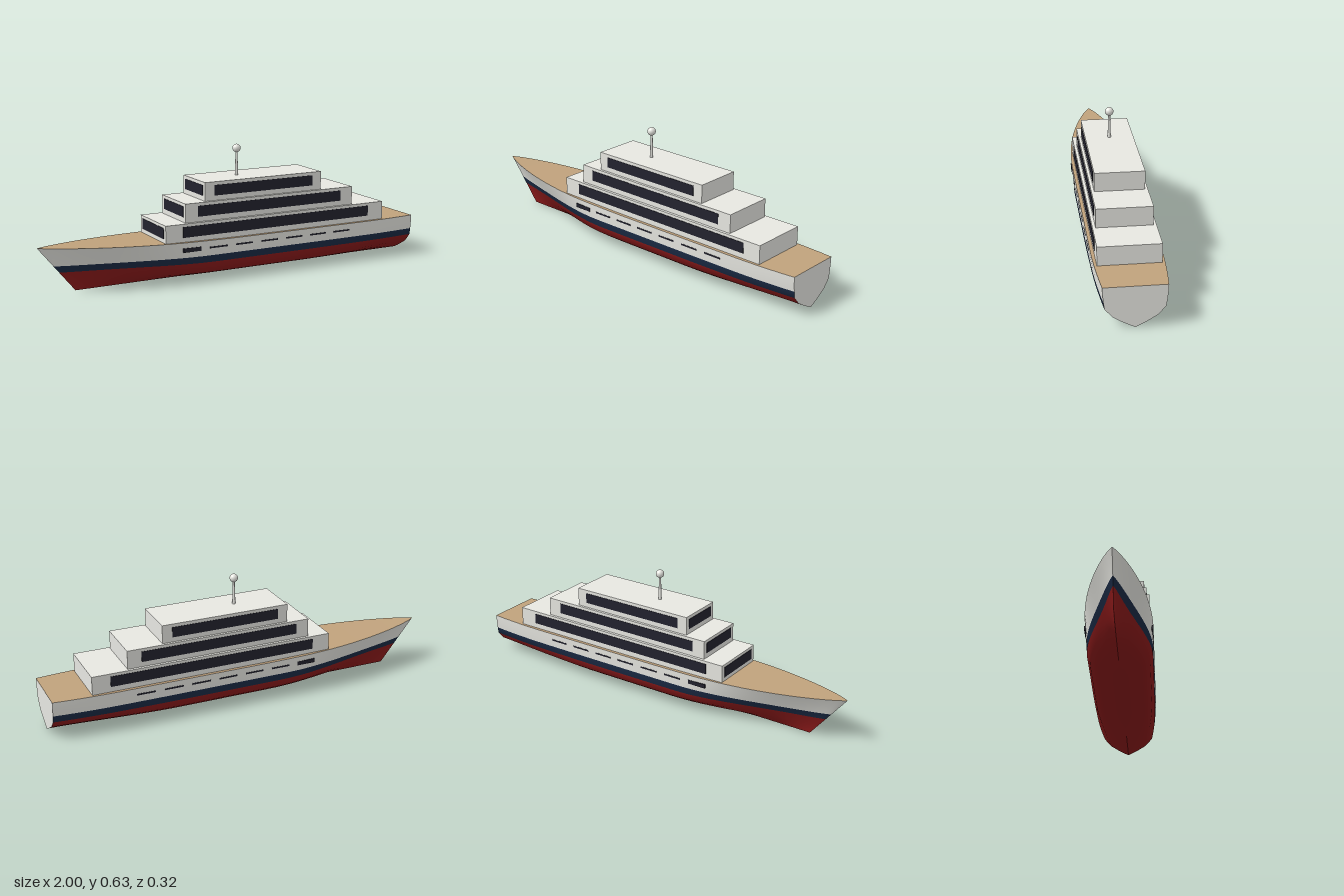
import * as THREE from 'three';

const mat = (name, color, side = THREE.FrontSide) => {
  const m = new THREE.MeshStandardMaterial({ color, side });
  m.name = name;
  return m;
};

// Hull cross-section rows: height, then share of half-width amidships, at the stern and at the bow
const ROWS = [
  [0, 0, 0, 0], [0.012, 0.31, 0.18, 0.08], [0.03, 0.66, 0.41, 0.18], [0.055, 0.89, 0.69, 0.31],
  [0.095, 0.98, 0.93, 0.48], [0.128, 0.985, 0.965, 0.62], [0.165, 0.995, 0.99, 0.8], [0.2, 1, 1, 1],
];
const STATIONS = 48;
const smooth = THREE.MathUtils.smoothstep;

// Point on the hull's left or right skin: station 0 is the stern, 1 the stem
function hullPoint(i, j, side) {
  const s = 1 - Math.pow(1 - i / STATIONS, 1.5);
  const along = 1 - 2 * s;
  const [level, mid, stern, bow] = ROWS[j];
  const rise = 0.022 * Math.pow(Math.max(0, -along), 1.5);
  const y = level + rise * Math.max(0, (level - 0.128) / 0.072);
  const x = 1 - s * (1.82 + 0.18 * y / 0.222);
  const taper = Math.max(0, (-0.25 - along) / 0.75);
  const aft = Math.max(0, (along - 0.65) / 0.35);
  const half = 0.16 * Math.pow(Math.max(0, 1 - taper * taper), 0.85) - 0.018 * aft * aft;
  const sternMix = smooth(along, 0.3, 1);
  const bowMix = smooth(-along, 0.2, 1);
  const share = mid + (stern - mid) * sternMix + (bow - mid) * bowMix;
  return [x, y, side * half * share];
}

function geometryFrom(positions, index) {
  const g = new THREE.BufferGeometry();
  g.setAttribute('position', new THREE.Float32BufferAttribute(positions, 3));
  g.setIndex(index);
  return g;
}

// One side of the hull, with a material group for each painted band
function hullSide(side) {
  const pos = [], index = [], n = ROWS.length;
  for (let i = 0; i <= STATIONS; i++) for (let j = 0; j < n; j++) pos.push(...hullPoint(i, j, side));
  const bands = [0];
  for (let j = 0; j < n - 1; j++) {
    for (let i = 0; i < STATIONS; i++) {
      const a = i * n + j, b = a + 1, c = a + n, d = c + 1;
      if (side > 0) index.push(a, b, c, b, d, c);
      else index.push(a, c, b, b, c, d);
    }
    if (j === 3 || j === 4 || j === n - 2) bands.push(index.length);
  }
  const g = geometryFrom(pos, index);
  for (let k = 0; k < 3; k++) g.addGroup(bands[k], bands[k + 1] - bands[k], k);
  g.computeVertexNormals();
  return g;
}

function deckGeometry() {
  const pos = [], index = [], top = ROWS.length - 1;
  for (let i = 0; i <= STATIONS; i++) pos.push(...hullPoint(i, top, 1), ...hullPoint(i, top, -1));
  for (let i = 0; i < STATIONS; i++) {
    const a = 2 * i;
    index.push(a, a + 1, a + 2, a + 1, a + 3, a + 2);
  }
  const g = geometryFrom(pos, index);
  g.computeVertexNormals();
  return g;
}

function transomGeometry() {
  const outline = [];
  for (const side of [1, -1]) {
    const half = ROWS.map((_, j) => hullPoint(0, j, side)).map(p => new THREE.Vector2(p[2], p[1]));
    outline.push(...(side > 0 ? half : half.slice(1).reverse()));
  }
  return new THREE.ShapeGeometry(new THREE.Shape(outline)).rotateY(Math.PI / 2).translate(1, 0, 0);
}

export function createModel() {
  const model = new THREE.Group();
  model.name = 'yacht';
  const white = mat('white paint', 0xf0f0ea);
  const navy = mat('navy stripe', 0x1a2a44);
  const red = mat('red bottom paint', 0x8b1a1a);
  const teak = mat('teak deck', 0xc0a27c);
  const glass = mat('dark glass', 0x22222e);

  const add = (name, geometry, material, parent = model) => {
    const mesh = new THREE.Mesh(geometry, material);
    mesh.name = name;
    parent.add(mesh);
    return mesh;
  };
  // Box given by its limits on each axis
  const box = (name, x0, x1, y0, y1, z0, z1, material, parent) =>
    add(name, new THREE.BoxGeometry(x1 - x0, y1 - y0, z1 - z0), material, parent)
      .position.set((x0 + x1) / 2, (y0 + y1) / 2, (z0 + z1) / 2);

  // Hull, deck and stern
  add('hullLeft', hullSide(1), [red, navy, white]);
  add('hullRight', hullSide(-1), [red, navy, white]);
  add('deck', deckGeometry(), teak);
  add('transom', transomGeometry(), white);

  // Stepped cabins: x range, y range, half-width, side window x range and y range
  const tiers = [
    [-0.42, 0.81, 0.195, 0.292, 0.144, -0.33, 0.72, 0.226, 0.278],
    [-0.31, 0.63, 0.292, 0.384, 0.13, -0.245, 0.56, 0.317, 0.369],
    [-0.2, 0.45, 0.384, 0.475, 0.117, -0.15, 0.4, 0.408, 0.459],
  ];
  tiers.forEach(([x0, x1, y0, y1, hw, wx0, wx1, wy0, wy1], k) => {
    const tier = new THREE.Group();
    tier.name = `cabinTier${k + 1}`;
    model.add(tier);
    box('cabin', x0, x1, y0, y1, -hw, hw, white, tier);
    box('windowLeft', wx0, wx1, wy0, wy1, hw - 0.002, hw + 0.002, glass, tier);
    box('windowRight', wx0, wx1, wy0, wy1, -hw - 0.002, -hw + 0.002, glass, tier);
    box('windowForward', x0 - 0.002, x0 + 0.002, wy0, wy1, 0.022 - hw, hw - 0.022, glass, tier);
  });

  // Hull ports: one tall forward port, then a row of narrow slits
  for (const side of [1, -1]) {
    for (let k = 0; k < 8; k++) {
      const x = -0.288 + 0.14 * k, h = k ? 0.004 : 0.01;
      const z = k ? 0.156 : 0.1555;
      if (x < 0.65) box('hullPort', x - 0.047, x + 0.047, 0.167 - h, 0.167 + h,
        side * z - 0.0045, side * z + 0.0045, glass);
    }
  }

  // Mast with radar dome
  add('mast', new THREE.CylinderGeometry(0.005, 0.008, 0.12, 16), white).position.set(0.033, 0.535, 0);
  add('radarDome', new THREE.SphereGeometry(0.0205, 24, 16), white).position.set(0.033, 0.608, 0);

  return model;
}
